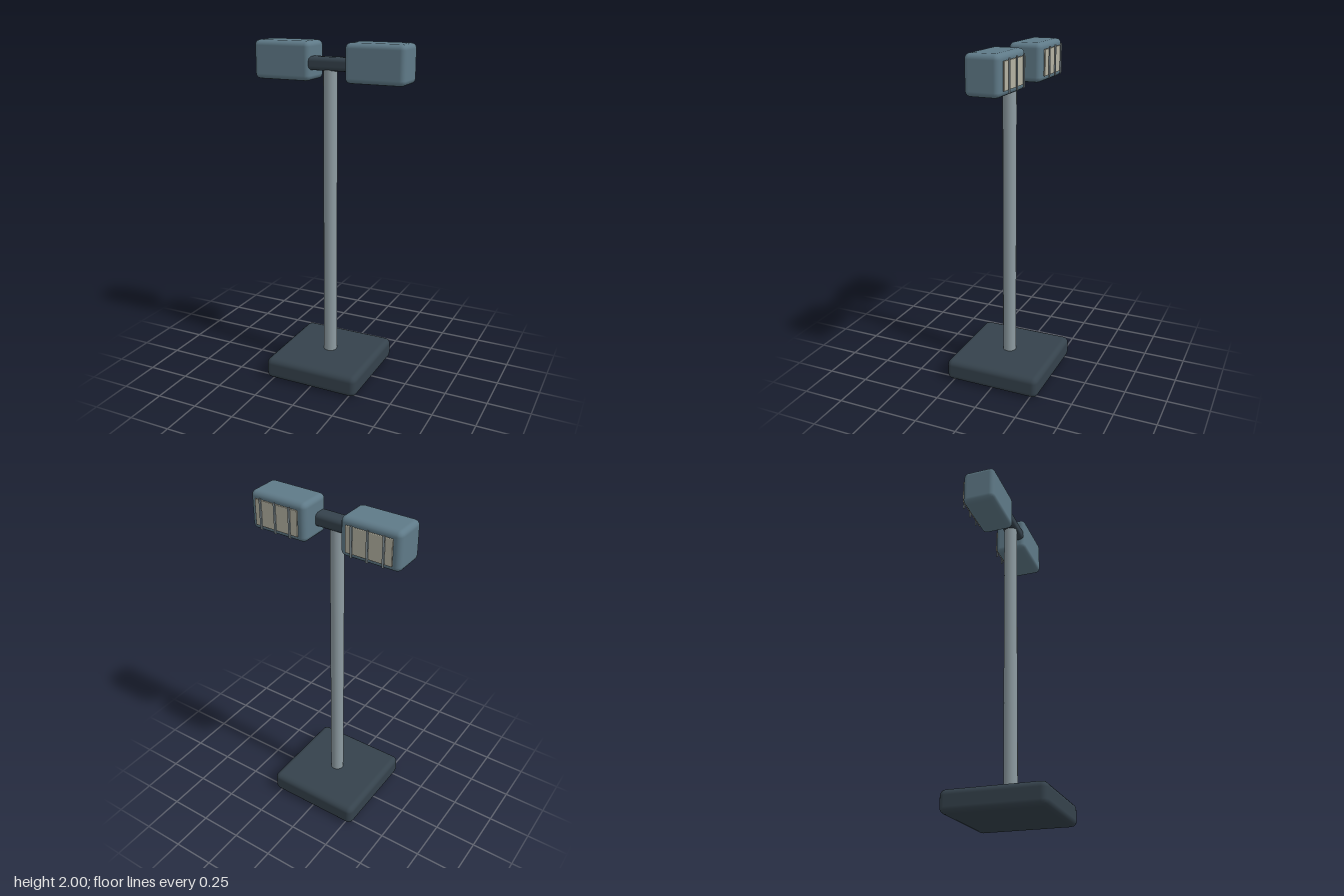
import * as THREE from 'three';
import { RoundedBoxGeometry } from 'three/addons/geometries/RoundedBoxGeometry.js';

const paint = (color) => new THREE.MeshStandardMaterial({ color });
const dark = paint(0x35424c);
const steel = paint(0x8e9ca2);
const blue = paint(0x5f7a88);
const lens = paint(0xb4b2a2);

function add(parent, name, geometry, material, x, y, z) {
  const mesh = new THREE.Mesh(geometry, material);
  mesh.name = name;
  mesh.position.set(x, y, z);
  parent.add(mesh);
  return mesh;
}

// One lamp head with its lens and guard bars on the back
function createHead(name, x) {
  const head = new THREE.Group();
  head.name = name;
  head.position.set(x, 1.89, 0);
  add(head, 'housing', new RoundedBoxGeometry(0.353, 0.22, 0.197, 2, 0.03), blue, 0, 0, -0.042);
  add(head, 'lens', new RoundedBoxGeometry(0.273, 0.15, 0.01, 2, 0.004), lens, 0, 0, -0.149);
  for (const barX of [-0.093, 0, 0.093]) {
    add(head, 'guardBar', new THREE.BoxGeometry(0.011, 0.175, 0.007), steel, barX, 0, -0.163);
  }
  return head;
}

export function createModel() {
  const model = new THREE.Group();
  model.name = 'twinFloodlight';

  // Heavy foot and post
  add(model, 'base', new RoundedBoxGeometry(0.59, 0.13, 0.59, 2, 0.035), dark, 0, 0.065, 0);
  add(model, 'pole', new THREE.CylinderGeometry(0.04, 0.04, 1.78, 16), steel, 0, 0.98, 0);

  // Cross arm carrying the two heads
  add(model, 'crossArm', new RoundedBoxGeometry(0.4, 0.076, 0.094, 2, 0.025), dark, 0, 1.88, 0);
  model.add(createHead('leftHead', 0.283), createHead('rightHead', -0.283));

  return model;
}
